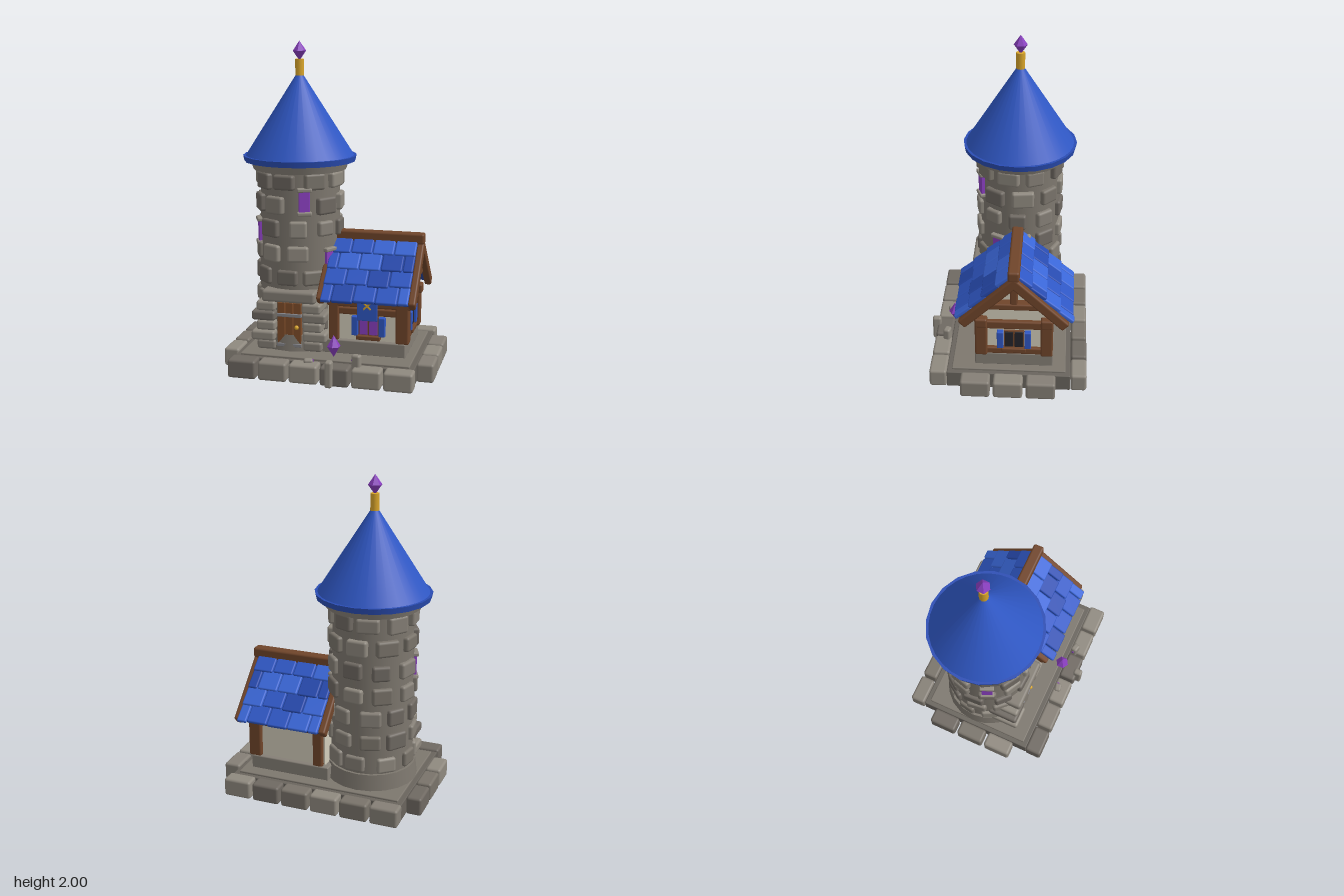
import * as THREE from 'three';
import { RoundedBoxGeometry } from 'three/addons/geometries/RoundedBoxGeometry.js';

const mats = {};
const mat = (c) => (mats[c] ??= new THREE.MeshStandardMaterial({ color: c }));
const STONE = 0x7d776e, STONES = [0x857f76, 0x79736a, 0x8f897f, 0x6f6962], WOOD = 0x70452a, DOOR = 0x7f4d2a;
const BLUE = 0x2f57c4, TILES = [0x2f57c4, 0x3a66d6, 0x274aae], CREAM = 0xd2ccba, PURPLE = 0x8a3fc0, GOLD = 0xd9a52a, DARK = 0x24242a;

let seed = 7;
const rnd = () => (seed = (seed * 16807) % 2147483647) / 2147483647;
const jit = (a) => (rnd() - 0.5) * 2 * a;
const pick = (list) => list[Math.floor(rnd() * list.length)];

function add(parent, name, geo, color, x = 0, y = 0, z = 0) {
  const m = new THREE.Mesh(geo, mat(color));
  m.name = name;
  m.position.set(x, y, z);
  parent.add(m);
  return m;
}
// rounded block given by its extents
function block(parent, name, color, [x0, x1], [y0, y1], [z0, z1], r = 0.01) {
  const w = x1 - x0, h = y1 - y0, d = z1 - z0;
  const geo = new RoundedBoxGeometry(w, h, d, 2, Math.min(r, w * 0.4, h * 0.4, d * 0.4));
  return add(parent, name, geo, color, (x0 + x1) / 2, (y0 + y1) / 2, (z0 + z1) / 2);
}
const cyl = (rt, rb, h, n = 20) => new THREE.CylinderGeometry(rt, rb, h, n);
function group(parent, name, x = 0, y = 0, z = 0) {
  const g = new THREE.Group();
  g.name = name;
  g.position.set(x, y, z);
  parent.add(g);
  return g;
}
function crystal(parent, x, y, z, r, h) {
  const geo = new THREE.LatheGeometry([[0, -h / 2], [r, 0], [0, h / 2]].map((p) => new THREE.Vector2(...p)), 6).toNonIndexed();
  geo.computeVertexNormals();
  add(parent, 'crystal', geo, PURPLE, x, y, z);
}

function buildBase(root) {
  const g = group(root, 'base');
  block(g, 'slab', 0x69645d, [-0.56, 0.55], [0, 0.108], [-0.4, 0.36], 0.006);
  block(g, 'paving', STONE, [-0.53, 0.52], [0.05, 0.12], [-0.37, 0.33], 0.006);
  // kerb stones along all four edges
  for (let i = 0; i < 6; i++) {
    const x = -0.568 + i * 0.191;
    block(g, 'kerbStone', pick(STONES), [x, x + 0.175], [0.005, 0.12], [-0.5, -0.402], 0.016);
    block(g, 'kerbStone', pick(STONES), [x, x + 0.175], [0.005, 0.12], [0.36, 0.467], 0.016);
  }
  for (let i = 0; i < 3; i++) {
    const z = -0.31 + i * 0.2;
    block(g, 'kerbStone', pick(STONES), [-0.658, -0.562], [0.005, 0.12], [z, z + 0.18], 0.016);
    block(g, 'kerbStone', pick(STONES), [0.55, 0.655], [0.005, 0.12], [z, z + 0.18], 0.016);
  }
  // crystal shrine with three standing stones
  crystal(g, 0.065, 0.218, 0.35, 0.042, 0.135);
  for (const [x, z, y0, y1] of [[-0.083, 0.388, 0.08, 0.14], [0.213, 0.388, 0.08, 0.19], [0.065, 0.472, 0.005, 0.167]]) {
    const s = block(g, 'standingStone', STONES[2], [x - 0.022, x + 0.022], [y0, y1], [z - 0.028, z + 0.028], 0.014);
    s.rotation.y = Math.atan2(x - 0.065, z - 0.35);
    const rune = add(s, 'rune', new THREE.BoxGeometry(0.012, 0.03, 0.006), PURPLE, 0, 0.01, -0.028);
    rune.rotation.z = 0.3;
  }
}

function buildTower(root) {
  const g = group(root, 'tower', -0.25, 0, -0.05);
  add(g, 'towerFoot', cyl(0.272, 0.285, 0.1), STONE, 0, 0.17, 0);
  add(g, 'towerWall', cyl(0.245, 0.258, 1.12), STONE, 0, 0.67, 0);
  add(g, 'collar', cyl(0.305, 0.29, 0.045), STONES[0], 0, 1.243, 0);
  add(g, 'roofRim', cyl(0.352, 0.345, 0.035), 0x2a4db4, 0, 1.287, 0);
  add(g, 'roofCone', cyl(0.018, 0.336, 0.5, 32), BLUE, 0, 1.552, 0);
  add(g, 'finial', cyl(0.027, 0.027, 0.1, 12), GOLD, 0, 1.84, 0);
  crystal(g, 0, 1.94, 0, 0.042, 0.12);

  const windows = [[0.37, 1.05], [-1.15, 0.835], [1.05, 0.67]];
  const face = (name, a, y) => {
    const p = group(g, name, Math.sin(a) * 0.25, y, Math.cos(a) * 0.25);
    p.rotation.y = a;
    return p;
  };
  // staggered wall stones, leaving out the door and windows
  [-0.4, -0.1, -0.08, -0.48, -0.5, -0.4, -0.1].forEach((off, row) => {
    for (let i = 0; i < 9; i++) {
      const a = off + ((i > 4 ? i - 9 : i) * Math.PI * 2) / 9 + jit(0.05);
      const y = 0.28 + row * 0.148 + jit(0.006);
      const w = 0.062 + jit(0.008), h = 0.05 + jit(0.005), color = pick(STONES);
      if (y < 0.5 && Math.abs(a) < 0.75) continue;
      if (windows.some(([wa, wy]) => Math.abs(a - wa) < 0.3 && Math.abs(y - wy) < 0.1)) continue;
      block(face('wallStoneMount', a, y), 'wallStone', color, [-w, w], [-h, h], [-0.035, 0.021], 0.016);
    }
  });
  for (const [a, y] of windows) {
    const p = face('towerWindow', a, y);
    block(p, 'windowPane', PURPLE, [-0.034, 0.034], [-0.065, 0.065], [-0.03, 0.014], 0.004);
    block(p, 'windowLintel', STONES[2], [-0.045, 0.045], [0.06, 0.085], [-0.03, 0.026], 0.008);
    block(p, 'windowSill', STONES[2], [-0.045, 0.045], [-0.085, -0.06], [-0.03, 0.026], 0.008);
  }

  // doorway
  const d = group(g, 'doorway');
  for (let i = 0; i < 3; i++) {
    const x = -0.077 + i * 0.0515;
    block(d, 'doorPlank', DOOR, [x, x + 0.05], [0.125, 0.425], [0.2, 0.268], 0.006);
  }
  for (const y of [0.155, 0.345]) block(d, 'doorStrap', 0x85858a, [-0.078, 0.078], [y - 0.011, y + 0.011], [0.25, 0.276], 0.004);
  add(d, 'doorKnob', new THREE.SphereGeometry(0.014, 12, 8), GOLD, 0.05, 0.273, 0.28);
  for (const s of [-1, 1]) for (let i = 0; i < 5; i++) {
    const y = 0.122 + i * 0.062, c = s * (0.145 + (i % 2) * 0.015), w = 0.06 + (i % 2) * 0.015;
    block(d, 'jambStone', pick(STONES), [c - w, c + w], [y, y + 0.06], [0.1, 0.29 + jit(0.02)], 0.016);
  }
  block(d, 'doorLintel', STONES[0], [-0.168, 0.17], [0.43, 0.503], [0.1, 0.3], 0.018);
}

// shuttered window facing +z, centred on its own origin
function shutteredWindow(parent, glass, x, y, z, turn) {
  const w = group(parent, 'shutteredWindow', x, y, z);
  w.rotation.y = turn;
  block(w, 'windowFrame', WOOD, [-0.062, 0.062], [-0.062, 0.062], [-0.02, 0.008], 0.004);
  for (const s of [-1, 1]) {
    block(w, 'pane', glass, [s * 0.03 - 0.025, s * 0.03 + 0.025], [-0.055, 0.055], [-0.01, 0.014], 0.003);
    block(w, 'shutter', BLUE, [s * 0.084 - 0.02, s * 0.084 + 0.02], [-0.06, 0.06], [-0.01, 0.028], 0.006);
  }
  block(w, 'windowSill', WOOD, [-0.075, 0.075], [-0.085, -0.058], [-0.02, 0.032], 0.006);
}

function buildHouse(root) {
  const g = group(root, 'house', 0, 0, -0.05);
  block(g, 'foundation', STONES[0], [-0.05, 0.468], [0.115, 0.205], [-0.24, 0.24], 0.008);
  // gabled wall body, profile extruded along x
  const profile = new THREE.Shape([[-0.21, 0.2], [0.21, 0.2], [0.21, 0.53], [0, 0.74], [-0.21, 0.53]].map((p) => new THREE.Vector2(...p)));
  const walls = add(g, 'walls', new THREE.ExtrudeGeometry(profile, { depth: 0.47, bevelEnabled: false }), CREAM, -0.02, 0, 0);
  walls.rotation.y = Math.PI / 2;

  // timber frame
  for (const s of [-1, 1]) {
    const zs = [s * 0.2 - 0.038, s * 0.2 + 0.038];
    block(g, 'cornerPost', WOOD, [0.405, 0.487], [0.2, 0.44], zs, 0.012);
    block(g, 'cornerPost', WOOD, [-0.01, 0.055], [0.2, 0.44], zs, 0.012);
    block(g, 'wallPlate', WOOD, [-0.02, 0.5], [0.415, 0.475], zs, 0.012);
  }
  block(g, 'frontRail', WOOD, [0, 0.48], [0.365, 0.41], [0.19, 0.228]);
  block(g, 'gableRail', WOOD, [0.43, 0.478], [0.395, 0.45], [-0.2, 0.2]);
  block(g, 'gableSill', WOOD, [0.43, 0.474], [0.205, 0.25], [-0.17, 0.17]);
  block(g, 'collarBeam', WOOD, [0.43, 0.505], [0.555, 0.597], [-0.2, 0.2]);
  block(g, 'kingPost', WOOD, [0.43, 0.5], [0.58, 0.76], [-0.023, 0.023]);

  shutteredWindow(g, PURPLE, 0.238, 0.3, 0.215, 0);
  shutteredWindow(g, DARK, 0.455, 0.312, 0, Math.PI / 2);

  // banner with crossed gold bars
  const b = group(g, 'banner', 0.238, 0.41, 0.262);
  block(b, 'bannerCloth', BLUE, [-0.062, 0.062], [-0.065, 0.07], [-0.008, 0.008], 0.004);
  for (const s of [-1, 1]) add(b, 'crossedBar', new THREE.BoxGeometry(0.06, 0.01, 0.008), GOLD, 0, 0.028, 0.009).rotation.z = s * 0.75;

  // roof: two mirrored slopes of overlapping tiles
  for (const turn of [0, Math.PI]) {
    const side = group(g, 'roofSide', 0.237, 0.805, 0);
    side.rotation.y = turn;
    const slope = group(side, 'slope');
    slope.rotation.x = 0.765;
    block(slope, 'roofDeck', 0x24439c, [-0.262, 0.262], [-0.03, -0.006], [0, 0.462], 0.004);
    for (const s of [-1, 1]) block(slope, 'bargeBoard', WOOD, [s * 0.28 - 0.022, s * 0.28 + 0.022], [-0.062, 0], [0, 0.465], 0.012);
    for (let row = 0; row < 4; row++) {
      for (let i = 0; i < 5; i++) {
        const x = -0.268 + i * 0.134 - (row % 2) * 0.067;
        const x0 = Math.max(x, -0.268), x1 = Math.min(x + 0.128, 0.262);
        if (x1 - x0 < 0.03) continue;
        const z = 0.005 + row * 0.116;
        const tile = block(slope, 'roofTile', pick(TILES), [x0, x1], [-0.006, 0.02], [z, z + 0.13 + jit(0.006)], 0.009);
        tile.rotation.x = -0.09;
      }
    }
  }
  block(g, 'ridgeBeam', WOOD, [-0.06, 0.54], [0.778, 0.845], [-0.035, 0.035], 0.014);
}

export function createModel() {
  const root = new THREE.Group();
  root.name = 'towerCottage';
  buildBase(root);
  buildTower(root);
  buildHouse(root);
  return root;
}
